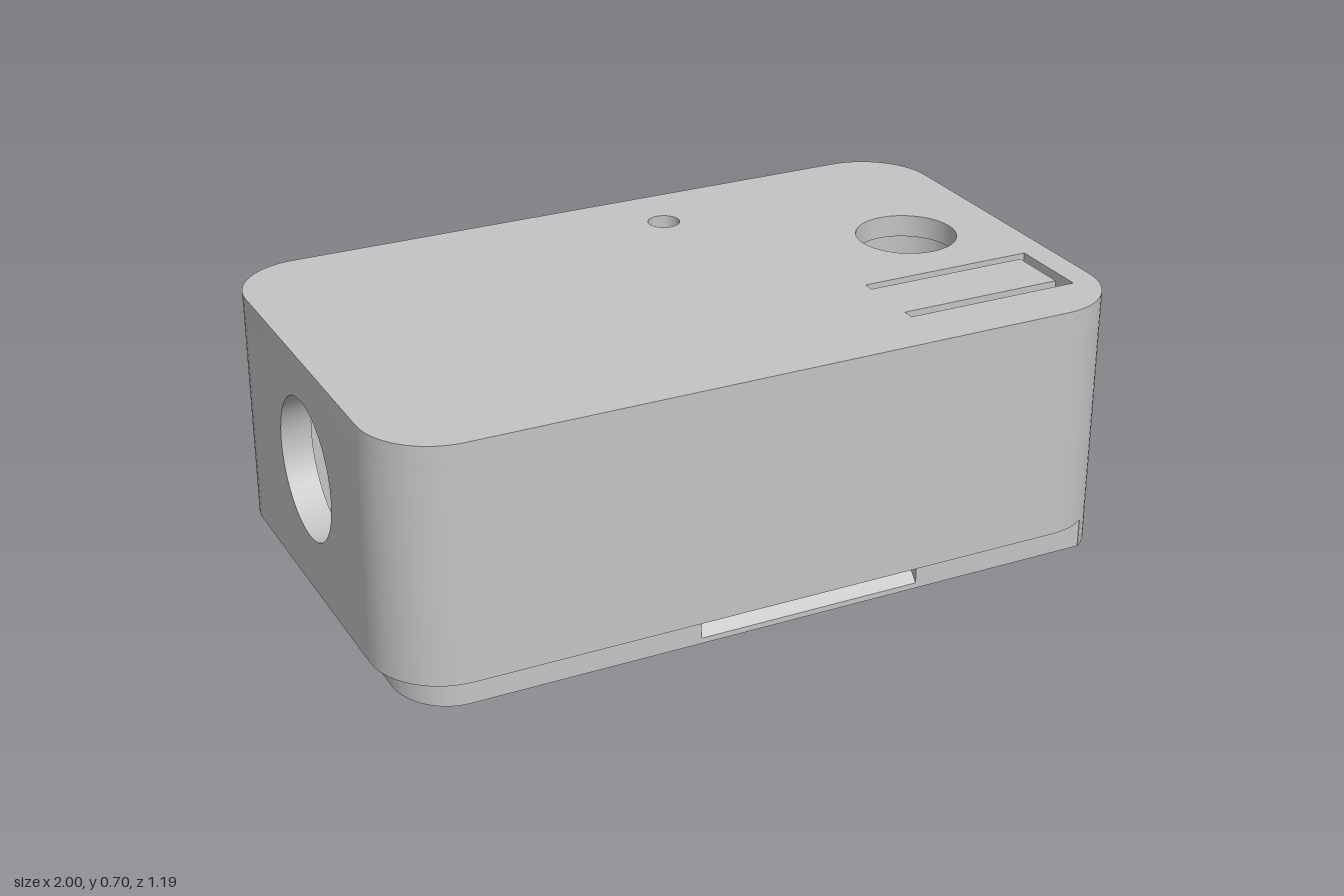
import * as THREE from 'three';
import { toCreasedNormals } from 'three/addons/utils/BufferGeometryUtils.js';

const CX = 0.81, CZ = 0.403; // centres of the rounded corners
const R = 0.19, RI = 0.11, RL = 0.157; // outer, cavity and lip corner radii
const LIPX = 0.95;           // lip face at the port end
const TOP = 0.705, CEIL = 0.645, LOW = 0.505, STEP = 0.078;

export function createModel() {
  const model = new THREE.Group();
  const grey = new THREE.MeshStandardMaterial({ color: 0xc4c4c4 });
  grey.name = 'grey plastic';

  const add = (name, geo) => {
    const mesh = new THREE.Mesh(geo, grey);
    mesh.name = name;
    model.add(mesh);
  };
  const extrude = (shape, depth) => new THREE.ExtrudeGeometry(shape, { depth, bevelEnabled: false, curveSegments: 18 });
  // plan shape (x, -z) raised from y0 to y1
  const rise = (name, shape, y0, y1) =>
    add(name, toCreasedNormals(extrude(shape, y1 - y0).rotateX(-Math.PI / 2).translate(0, y0, 0), 0.5));
  // side shape (-z, y) run along x from x0 to x1
  const run = (name, shape, x0, x1) =>
    add(name, toCreasedNormals(extrude(shape, x1 - x0).rotateY(Math.PI / 2).translate(x0, 0, 0), 0.5));
  const poly = (pts) => new THREE.Shape(pts.map(([a, b]) => new THREE.Vector2(a, b)));
  const hole = (x, y, r) => new THREE.Path().absarc(x, y, r, 0, Math.PI * 2, true);
  const rect = (x0, y0, x1, y1) => [[x0, y0], [x1, y0], [x1, y1], [x0, y1]];
  const box = (name, x0, x1, y0, y1, z0, z1) =>
    add(name, new THREE.BoxGeometry(x1 - x0, y1 - y0, z1 - z0)
      .translate((x0 + x1) / 2, (y0 + y1) / 2, (z0 + z1) / 2));
  const peg = (name, r, x, z, y0, y1) =>
    add(name, new THREE.CylinderGeometry(r, r, y1 - y0, 28).translate(x, (y0 + y1) / 2, z));
  // points on a corner arc, with sx and s choosing the corner
  const arc = (sx, s, r, a0, a1, n = 14, rx = r) => Array.from({ length: n + 1 }, (_, i) => {
    const a = a0 + (a1 - a0) * i / n;
    return [sx * (CX + rx * Math.cos(a)), s * (CZ + r * Math.sin(a))];
  });
  const Q = Math.PI / 2;

  // top plate with round holes and the slit around the press tongue
  const plate = poly([
    ...arc(1, 1, R, 0, Q), ...arc(-1, 1, R, Q, 0),
    ...arc(-1, -1, R, 0, Q), ...arc(1, -1, R, Q, 0)]);
  plate.holes.push(hole(0.718, 0.037, 0.135), hole(0.178, 0.408, 0.043));
  plate.holes.push(poly([
    [0.445, -0.215], [0.927, -0.215], [0.927, -0.44], [0.445, -0.44],
    [0.445, -0.408], [0.895, -0.408], [0.895, -0.245], [0.445, -0.245]]));
  rise('topPlate', plate, CEIL, TOP);

  // thicker ceiling behind the slot end, open around the tongue and holes
  const thick = poly([
    [-0.3, -CZ - RI], ...arc(1, -1, RI, Q, 0), ...arc(1, 1, RI, 0, Q), [-0.3, CZ + RI]]);
  thick.holes.push(hole(0.718, 0.037, 0.14), hole(0.178, 0.408, 0.045));
  thick.holes.push(poly(rect(0.44, -0.445, 0.91, -0.21)));
  rise('thickCeiling', thick, LOW, CEIL);

  // end walls: slot and cable notch on one, round port on the other
  const slotWall = poly([
    [-CZ, 0], [-0.263, 0], [-0.263, 0.183], [0.26, 0.183], [0.26, 0],
    [CZ, 0], [CZ, CEIL], [-CZ, CEIL]]);
  slotWall.holes.push(poly(rect(-0.28, 0.288, 0.37, 0.408)));
  run('slotEndWall', slotWall, CX + RI, 1);

  const portWall = poly(rect(-CZ, STEP, CZ, CEIL));
  portWall.holes.push(hole(0, 0.408, 0.185));
  run('portEndWall', portWall, -1, -CX - RI);
  box('endLip', -LIPX, -CX - RI, 0, STEP, -CZ, CZ);

  for (const s of [1, -1]) {
    const side = s > 0 ? 'back' : 'front'; // plan shapes use -z
    // long wall with its two rounded corners
    rise(side + 'Wall', poly([
      ...arc(1, s, R, 0, Q), ...arc(-1, s, R, Q, 0),
      ...arc(-1, s, RI, 0, Q), ...arc(1, s, RI, Q, 0)]), STEP, CEIL);

    // lip corner beside the port wall
    rise(side + 'LipCorner', poly([
      ...arc(-1, s, RL, 0, Q, 14, LIPX - CX), ...arc(-1, s, RI, Q, 0)]), 0, STEP);

    // lip end running into the full-height corner
    rise(side + 'CornerFoot', poly([
      [CX, s * (CZ + RL)], [0.915, s * (CZ + RL)],
      ...arc(1, s, R, 0.98, 0, 8), ...arc(1, s, RI, 0, Q)]), 0, STEP);

    // straight lip with a V-shaped catch groove
    const zi = CZ + RI, zo = CZ + RL;
    const flat = poly(rect(s * zi, 0, s * zo, STEP));
    const grooved = poly([
      [s * zi, 0], [s * zo, 0], [s * zo, 0.015], [s * (zo - 0.025), 0.042],
      [s * zo, 0.065], [s * zo, STEP], [s * zi, STEP]]);
    run(side + 'LipLeft', flat, 0.417, CX);
    run(side + 'LipGroove', grooved, -0.197, 0.417);
    run(side + 'LipRight', flat, -CX, -0.197);

    // board post and stiffening rib hanging from the ceiling
    peg(side + 'Post', 0.053, -0.13, -s * 0.328, 0.34, LOW);
    const zr = -s * 0.337;
    box(side + 'Rib', -0.79, -0.3, 0.39, CEIL, zr - 0.0125, zr + 0.0125);
  }

  // plunger below the press tongue
  peg('tonguePlunger', 0.046, 0.837, 0.327, 0.02, CEIL);

  return model;
}
